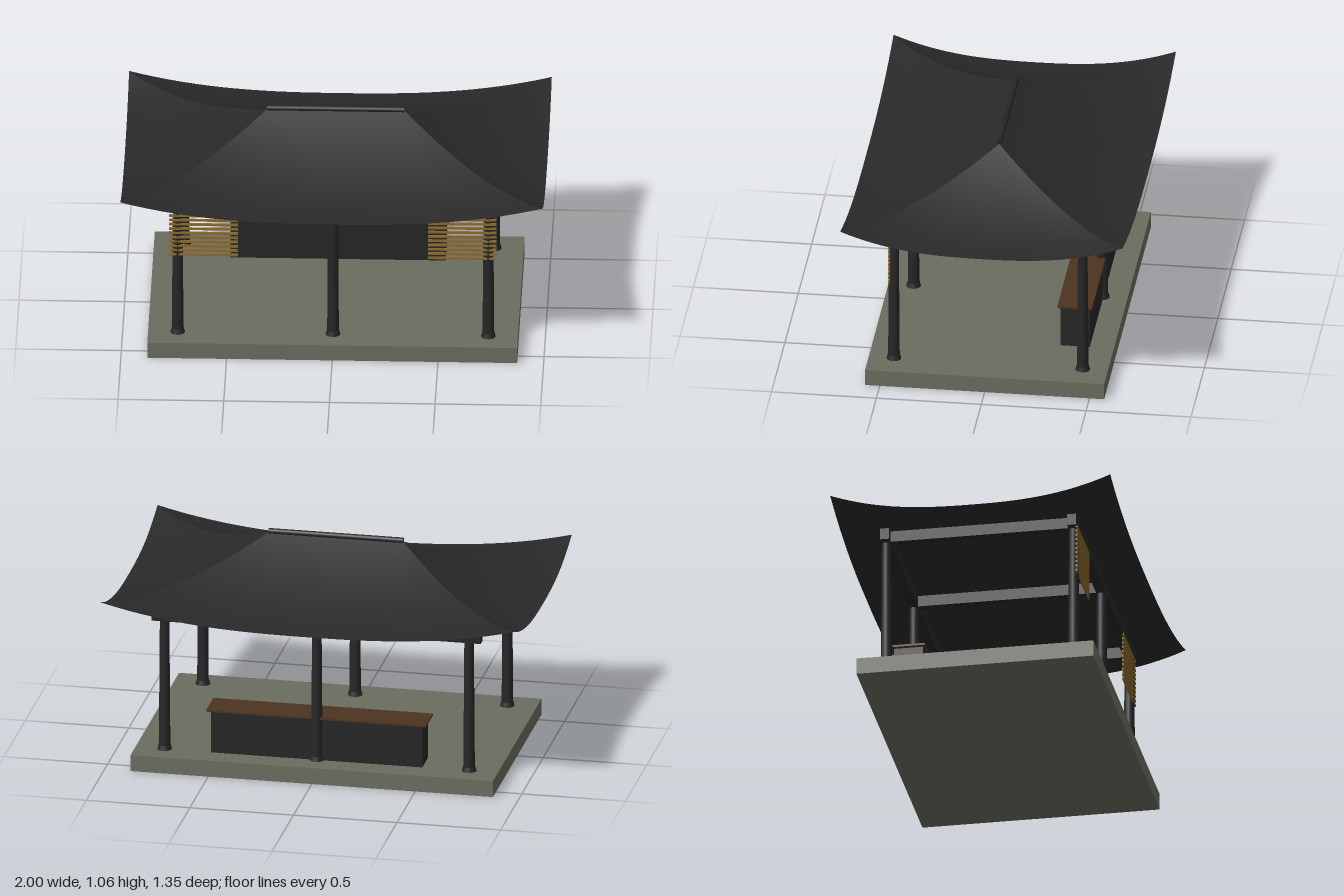
import * as THREE from 'three';

const material = (name, color, side = THREE.FrontSide) => {
  const m = new THREE.MeshStandardMaterial({ color, side });
  m.name = name;
  return m;
};

export function createModel() {
  const group = new THREE.Group();
  group.name = 'pavilion';
  const stone = material('stone', 0x6a6c5f);
  const wood = material('dark timber', 0x262626);
  const tile = material('roof tile', 0x292929, THREE.DoubleSide);
  const board = material('brown board', 0x4c3420);
  const bamboo = material('bamboo', 0x8c6a2e);

  const add = (name, geometry, mat, x = 0, y = 0, z = 0, parent = group) => {
    const mesh = new THREE.Mesh(geometry, mat);
    mesh.name = name;
    mesh.position.set(x, y, z);
    parent.add(mesh);
    return mesh;
  };
  const box = (name, mat, w, h, d, x, y, z, parent) =>
    add(name, new THREE.BoxGeometry(w, h, d), mat, x, y, z, parent);

  // Platform
  box('platform', stone, 1.75, 0.08, 1.14, 0, 0.04, 0);

  // Tapered columns on round footings
  const columnGeo = new THREE.CylinderGeometry(0.023, 0.028, 0.66, 16);
  const footingGeo = new THREE.CylinderGeometry(0.029, 0.035, 0.022, 16);
  for (const x of [-0.735, 0, 0.735]) {
    for (const z of [-0.45, 0.45]) {
      add('column', columnGeo, wood, x, 0.41, z);
      add('columnFooting', footingGeo, wood, x, 0.091, z);
    }
    box('crossBeam', wood, 0.044, 0.054, 0.9, x, 0.758, 0);
  }
  for (const z of [-0.45, 0.45]) box('longBeam', wood, 1.59, 0.056, 0.044, 0, 0.758, z);

  // Counter
  box('counter', wood, 1.02, 0.21, 0.14, 0, 0.185, -0.385);
  box('counterTop', board, 1.06, 0.01, 0.165, 0, 0.293, -0.385);

  // Slatted blinds on the two front corners
  for (const side of [-1, 1]) {
    const blind = new THREE.Group();
    blind.name = side > 0 ? 'leftBlind' : 'rightBlind';
    group.add(blind);
    for (let i = 0; i < 11; i++) {
      box('slat', bamboo, 0.325, 0.011, 0.008, side * 0.612, 0.503 + i * 0.0228, 0.47, blind);
    }
  }

  // Hipped roof: u runs from ridge to eave, t along the eave; corners sweep upward
  const ridge = 0.325, halfX = 1, halfZ = 0.673;
  const roofHeight = (u, t) =>
    0.778 + 0.262 * Math.pow(1 - u, 1.5) + 0.102 * Math.pow(Math.abs(t), 2.6) * Math.pow(u, 2.2);
  const roofPanel = (place) => {
    const rows = 20, cols = 32, points = [], index = [];
    for (let i = 0; i <= rows; i++) {
      for (let j = 0; j <= cols; j++) {
        const u = i / rows, t = (j / cols) * 2 - 1;
        const [x, z] = place(u, t);
        points.push(x, roofHeight(u, t), z);
        if (i < rows && j < cols) {
          const a = i * (cols + 1) + j, b = a + cols + 1;
          index.push(a, b, a + 1, b, b + 1, a + 1);
        }
      }
    }
    const geo = new THREE.BufferGeometry();
    geo.setAttribute('position', new THREE.Float32BufferAttribute(points, 3));
    geo.setIndex(index);
    geo.computeVertexNormals();
    return geo;
  };
  const reach = (u) => ridge + (halfX - ridge) * u;
  const longPanel = roofPanel((u, t) => [t * reach(u), u * halfZ]);
  const endPanel = roofPanel((u, t) => [reach(u), -t * u * halfZ]);
  for (const turn of [0, Math.PI]) {
    add('roofLongSlope', longPanel, tile).rotation.y = turn;
    add('roofEndSlope', endPanel, tile).rotation.y = turn;
  }

  // Ridge pole
  const pole = new THREE.CylinderGeometry(0.0135, 0.0135, 0.65, 10).rotateZ(Math.PI / 2);
  add('ridgePole', pole, wood, 0, 1.046, 0);

  return group;
}
